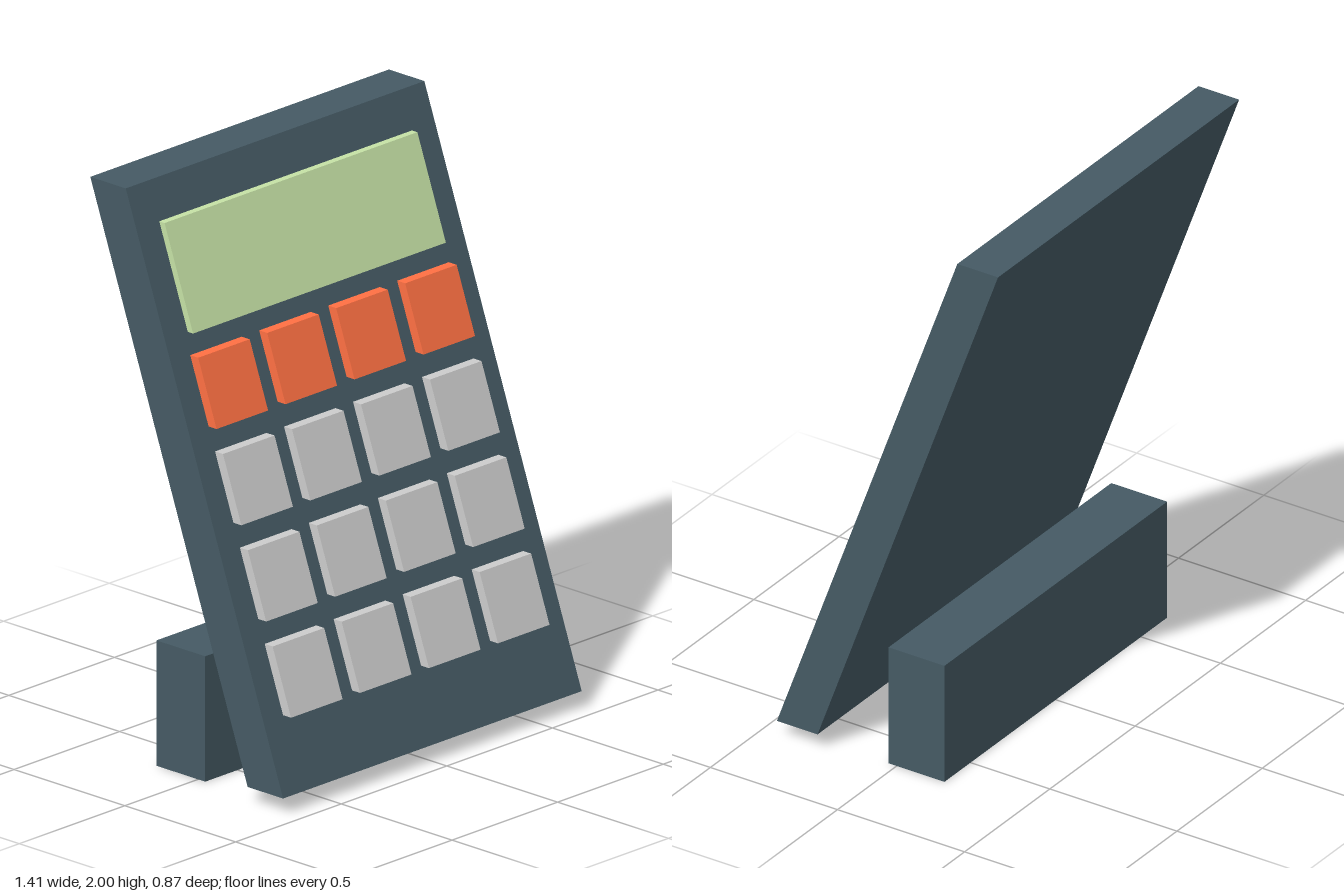
import * as THREE from 'three';

const BASE_Y = 0.057, BASE_Z = 0.435, SLOPE = 0.71 / 1.943;
// depth of the leaning front face at a given height
const faceZ = (y) => BASE_Z - SLOPE * (y - BASE_Y);

const shell = new THREE.MeshStandardMaterial({ color: 0x455a64 });
const glass = new THREE.MeshStandardMaterial({ color: 0xc5e1a5 });
const orange = new THREE.MeshStandardMaterial({ color: 0xff7043 });
const grey = new THREE.MeshStandardMaterial({ color: 0xcccccc });

// box sheared to lean back; z0..z1 are measured from the leaning front face
function leaningBox(name, material, x, y, w, h, z0, z1) {
  const geo = new THREE.BoxGeometry(w, h, z1 - z0);
  const shear = new THREE.Matrix4().set(
    1, 0, 0, 0,
    0, 1, 0, 0,
    0, -SLOPE, 1, 0,
    0, 0, 0, 1);
  geo.applyMatrix4(shear);
  geo.computeVertexNormals();
  const mesh = new THREE.Mesh(geo, material);
  mesh.name = name;
  mesh.position.set(x, y, faceZ(y) + (z0 + z1) / 2);
  return mesh;
}

export function createModel() {
  const model = new THREE.Group();
  model.name = 'calculator';

  // leaning slab and display
  model.add(leaningBox('body', shell, 0, (BASE_Y + 2) / 2, 1.414, 2 - BASE_Y, -0.16, 0));
  model.add(leaningBox('screen', glass, 0, 1.693, 1.197, 0.352, 0, 0.024));

  // four by four keypad, top row orange
  const keys = new THREE.Group();
  keys.name = 'keypad';
  for (let row = 0; row < 4; row++) {
    for (let col = 0; col < 4; col++) {
      const x = -0.492 + col * 0.3267, y = 1.333 - row * 0.3065;
      keys.add(leaningBox(row === 0 ? 'functionKey' : 'numberKey',
        row === 0 ? orange : grey, x, y, 0.244, 0.227, 0, 0.036));
    }
  }
  model.add(keys);

  // upright block behind the body
  const stand = new THREE.Mesh(new THREE.BoxGeometry(1.306, 0.436, 0.22), shell);
  stand.name = 'stand';
  stand.position.set(0, 0.218, -0.078);
  model.add(stand);

  return model;
}
